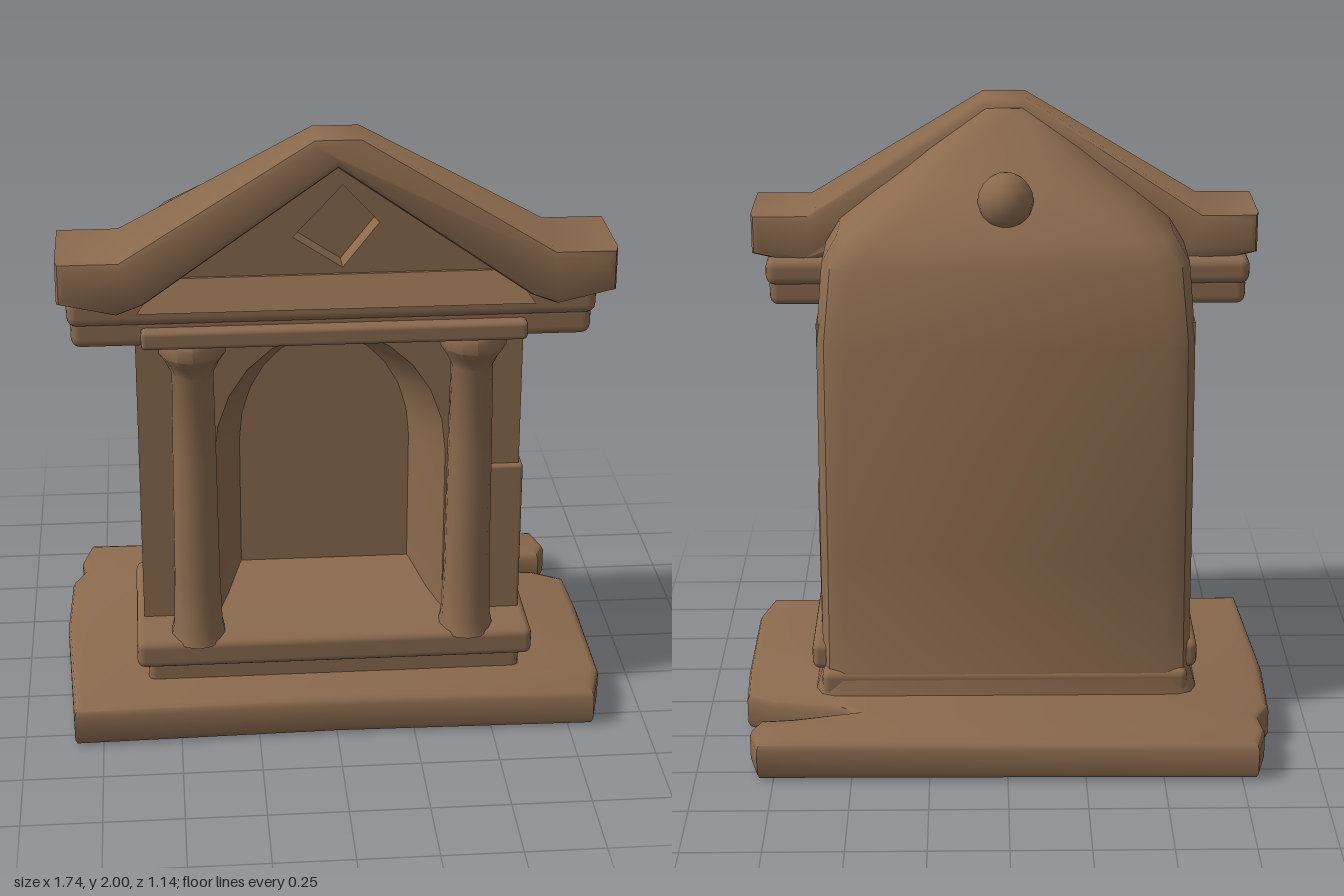
import * as THREE from 'three';
import { toCreasedNormals } from 'three/addons/utils/BufferGeometryUtils.js';
import { RoundedBoxGeometry } from 'three/addons/geometries/RoundedBoxGeometry.js';

const clay = new THREE.MeshStandardMaterial({ color: 0x8b6a4e });
clay.name = 'brownClay';
const clayInside = clay;

function add(group, name, geometry, crease = 0.7) {
  const mesh = new THREE.Mesh(crease ? toCreasedNormals(geometry, crease) : geometry, clayInside);
  mesh.name = name;
  group.add(mesh);
  return mesh;
}

// Rounded block given by its extents
function block(group, name, x0, x1, y0, y1, z0, z1, r = 0.025) {
  const g = new RoundedBoxGeometry(x1 - x0, y1 - y0, z1 - z0, 2, r);
  g.translate((x0 + x1) / 2, (y0 + y1) / 2, (z0 + z1) / 2);
  return add(group, name, g, 0);
}

const shapeOf = (pts) => new THREE.Shape(pts.map(([x, y]) => new THREE.Vector2(x, y)));

// Extrusion between two depths, bevel kept inside them
function extrude(shape, z0, z1, bevel = 0) {
  const g = new THREE.ExtrudeGeometry(shape, {
    depth: z1 - z0 - 2 * bevel, bevelEnabled: bevel > 0, bevelThickness: bevel,
    bevelSize: bevel, bevelOffset: -bevel, bevelSegments: 2,
  });
  return g.translate(0, 0, z0 + bevel);
}

// Surface through equal-length rings of points; optionally closed and capped
function loft(rings, closed) {
  const n = rings[0].length, index = [];
  for (let r = 0; r < rings.length - 1; r++) {
    for (let i = 0; i < (closed ? n : n - 1); i++) {
      const a = r * n + i, b = r * n + (i + 1) % n;
      index.push(a, b, b + n, a, b + n, a + n);
    }
  }
  if (closed) {
    const top = (rings.length - 1) * n;
    for (let i = 1; i < n - 1; i++) index.push(top, top + i, top + i + 1, 0, i + 1, i);
  }
  const g = new THREE.BufferGeometry();
  g.setAttribute('position', new THREE.Float32BufferAttribute(rings.flat(2), 3));
  g.setIndex(index);
  g.computeVertexNormals();
  return g;
}

// Arch outline from the right foot over the top to the left foot
function arch(w, foot, spring, top, z) {
  const pts = [[w, foot, z]];
  for (let i = 0; i <= 12; i++) {
    const t = (i / 12) * Math.PI;
    pts.push([w * Math.cos(t), spring + (top - spring) * Math.sin(t), z]);
  }
  pts.push([-w, foot, z]);
  return pts;
}

export function createModel() {
  const model = new THREE.Group();
  model.name = 'templeShrine';

  // Ground slab with a broken notch at the back
  const slab = shapeOf([
    [-0.84, -0.57], [0, -0.555], [0.83, -0.57], [0.87, -0.42], [0.87, 0], [0.86, 0.2], [0.76, 0.26], [0.55, 0.29],
    [0.5, 0.33], [0.7, 0.37], [0.8, 0.38], [0.83, 0.45], [0.8, 0.56], [0.4, 0.56],
    [-0.8, 0.575], [-0.83, 0.46], [-0.82, 0.38], [-0.86, 0.3], [-0.87, 0],
  ]);
  add(model, 'groundSlab', extrude(slab, 0, 0.13, 0.025).rotateX(-Math.PI / 2), 0.8);

  // Plinth
  block(model, 'lowerPlinth', -0.6, 0.61, 0.1, 0.21, -0.21, 0.39);
  block(model, 'upperPlinth', -0.635, 0.645, 0.19, 0.285, -0.15, 0.43);

  // Main body and hipped back roof: y, half width, back z, front z, corner cut
  const levels = [
    [0.1, 0.64, -0.23, 0, 0.06], [0.2, 0.61, -0.205, 0, 0.08], [0.6, 0.61, -0.195, 0, 0.09],
    [1.0, 0.61, -0.155, 0, 0.09], [1.3, 0.61, -0.115, 0, 0.09], [1.31, 0.61, -0.113, 0.38, 0.09],
    [1.55, 0.59, -0.08, 0.38, 0.1], [1.63, 0.54, -0.04, 0.38, 0.12], [1.72, 0.42, 0.04, 0.38, 0.14],
    [1.79, 0.32, 0.12, 0.38, 0.14], [1.85, 0.24, 0.22, 0.38, 0.1], [1.97, 0.06, 0.37, 0.4, 0.01],
  ];
  add(model, 'body', loft(levels.map(([y, w, zb, zf, c]) => [
    [w, y, zf], [w, y, zb + c], [w - c * 0.3, y, zb + c * 0.3], [w - c, y, zb],
    [c - w, y, zb], [c * 0.3 - w, y, zb + c * 0.3], [-w, y, zb + c], [-w, y, zf],
  ]), true), 0.75);

  // Front wall with a splayed arched niche
  const wall = shapeOf([[-0.61, 0.22], [0.61, 0.22], [0.61, 1.36], [-0.61, 1.36]]);
  const outer = arch(0.37, 0.28, 0.85, 1.28, 0.25);
  wall.holes.push(new THREE.Path(outer.map(([x, y]) => new THREE.Vector2(x, y))));
  add(model, 'frontWall', extrude(wall, -0.03, 0.25));
  add(model, 'nicheSplay', loft([outer, arch(0.28, 0.28, 0.8, 1.17, 0.001)], false), 0.8);
  add(model, 'nicheSill', loft([
    [[-0.37, 0.28, 0.25], [0.37, 0.28, 0.25]],
    [[-0.34, 0.3, 0.14], [0.34, 0.3, 0.14]],
    [[-0.28, 0.35, 0.004], [0.28, 0.35, 0.004]],
  ], false), 0.8);
  block(model, 'sideButtress', 0.5, 0.622, 0.25, 0.8, 0.02, 0.27, 0.01);

  // Columns
  const profile = [[0.09, 0.27], [0.08, 0.32], [0.074, 0.5], [0.07, 0.9], [0.066, 1.2],
    [0.085, 1.24], [0.105, 1.27], [0.105, 1.31], [0.09, 1.34]].map(([r, y]) => new THREE.Vector2(r, y));
  for (const side of [-1, 1]) {
    const g = new THREE.LatheGeometry(profile, 14).scale(1, 1, 1.15);
    add(model, side > 0 ? 'leftColumn' : 'rightColumn', g.translate(side * 0.435, 0, 0.345), 0.7);
  }

  // Entablature
  block(model, 'architrave', -0.8, 0.78, 1.335, 1.435, 0.24, 0.48, 0.03);
  block(model, 'architraveBand', -0.59, 0.58, 1.34, 1.4, 0.4, 0.52, 0.015);
  block(model, 'cornice', -0.81, 0.79, 1.41, 1.5, 0.22, 0.5, 0.03);

  // Tympanum with a tilted diamond recess and a sloping foot
  const tympanum = shapeOf([[-0.68, 1.46], [0.68, 1.46], [0, 1.93]]);
  tympanum.holes.push(new THREE.Path([[-0.13, 1.67], [0.02, 1.57], [0.13, 1.71], [0.02, 1.83]]
    .map(([x, y]) => new THREE.Vector2(x, y))));
  add(model, 'tympanum', extrude(tympanum, 0.33, 0.46));
  add(model, 'tympanumFoot', loft([
    [[-0.6, 1.46, 0.52], [0.6, 1.46, 0.52]], [[-0.53, 1.55, 0.465], [0.53, 1.55, 0.465]],
    [[-0.53, 1.555, 0.45], [0.53, 1.555, 0.45]],
  ], false), 0.4);

  // Raking gable frame with flared eaves, leaning back towards the top
  const half = [[0.07, 2], [0.65, 1.645], [0.835, 1.645], [0.835, 1.51], [0.66, 1.47], [0.58, 1.5]];
  const frame = shapeOf([...half, [0, 1.905], ...half.map(([x, y]) => [-x, y]).reverse()]);
  const gable = extrude(frame, 0.25, 0.57, 0.025);
  const p = gable.attributes.position;
  for (let i = 0; i < p.count; i++) {
    const t = THREE.MathUtils.clamp((p.getY(i) - 1.65) / 0.35, 0, 1);
    p.setZ(i, p.getZ(i) + (p.getZ(i) < 0.4 ? 0.14 : -0.025) * t);
  }
  add(model, 'gableFrame', gable, 0.7);

  // Knob on the back roof
  add(model, 'roofKnob', new THREE.SphereGeometry(0.09, 14, 10).scale(1, 1.05, 1).translate(0, 1.74, 0.055), 0);

  return model;
}
